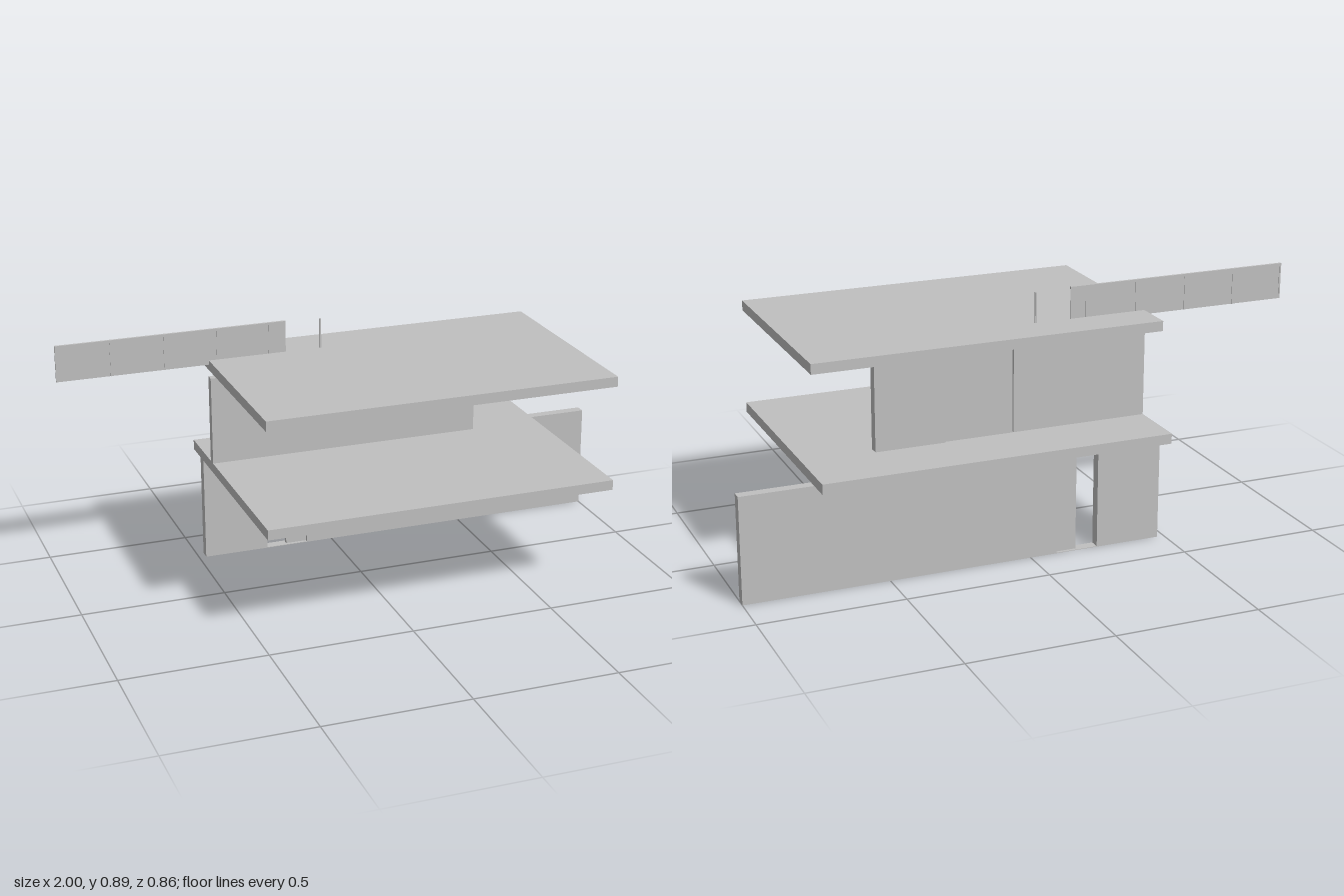
import * as THREE from 'three';

export function createModel() {
  const model = new THREE.Group();
  model.name = 'house';
  const plaster = new THREE.MeshStandardMaterial({ color: 0xc0c0c0 });
  plaster.name = 'pale grey';

  // Box given by its limits on each axis
  function box(name, [x0, x1], [y0, y1], [z0, z1], parent = model) {
    const mesh = new THREE.Mesh(new THREE.BoxGeometry(x1 - x0, y1 - y0, z1 - z0), plaster);
    mesh.position.set((x0 + x1) / 2, (y0 + y1) / 2, (z0 + z1) / 2);
    mesh.name = name;
    parent.add(mesh);
    return mesh;
  }
  function rect(path, x0, x1, y0, y1) {
    path.moveTo(x0, y0);
    path.lineTo(x1, y0);
    path.lineTo(x1, y1);
    path.lineTo(x0, y1);
    path.closePath();
    return path;
  }

  // Floor and roof slabs
  box('floorSlab', [-0.475, 0.75], [0.37, 0.405], [-0.43, 0.43]);
  box('roofSlab', [-0.475, 0.75], [0.74, 0.775], [-0.345, 0.43]);

  // Ground floor wall with a door opening over a thin threshold
  const outline = rect(new THREE.Shape(), -0.475, 1, 0, 0.37);
  outline.holes.push(rect(new THREE.Path(), -0.245, -0.095, 0.002, 0.345));
  const wall = new THREE.Mesh(
    new THREE.ExtrudeGeometry(outline, { depth: 0.035, bevelEnabled: false }), plaster);
  wall.position.z = -0.345;
  wall.name = 'groundWall';
  model.add(wall);
  box('doorLeaf', [-0.17, -0.095], [0.002, 0.34], [-0.334, -0.321]);

  // Upper storey wall: a continuous front sheet with stepped panels behind
  const upper = new THREE.Group();
  upper.name = 'upperWall';
  model.add(upper);
  box('frontSheet', [-0.475, 0.5], [0.405, 0.715], [-0.2, -0.185], upper);
  box('leftPanel', [0.255, 0.5], [0.405, 0.715], [-0.22, -0.2], upper);
  box('middlePanel', [0.012, 0.255], [0.405, 0.715], [-0.213, -0.2], upper);
  box('rightPanel', [-0.475, 0.008], [0.405, 0.715], [-0.213, -0.2], upper);

  // Roof railing, with one post standing free
  const railing = new THREE.Group();
  railing.name = 'railing';
  model.add(railing);
  const z = -0.203;
  box('railingPanel', [-1, -0.2], [0.76, 0.878], [z - 0.001, z + 0.001], railing);
  box('handrail', [-1, -0.2], [0.878, 0.886], [z - 0.004, z + 0.004], railing);
  for (let i = 0; i < 6; i++) {
    const x = -0.997 + i * 0.1845;
    box('railingPost', [x - 0.003, x + 0.003], [0.76, 0.88], [z - 0.003, z + 0.003], railing);
  }
  return model;
}
